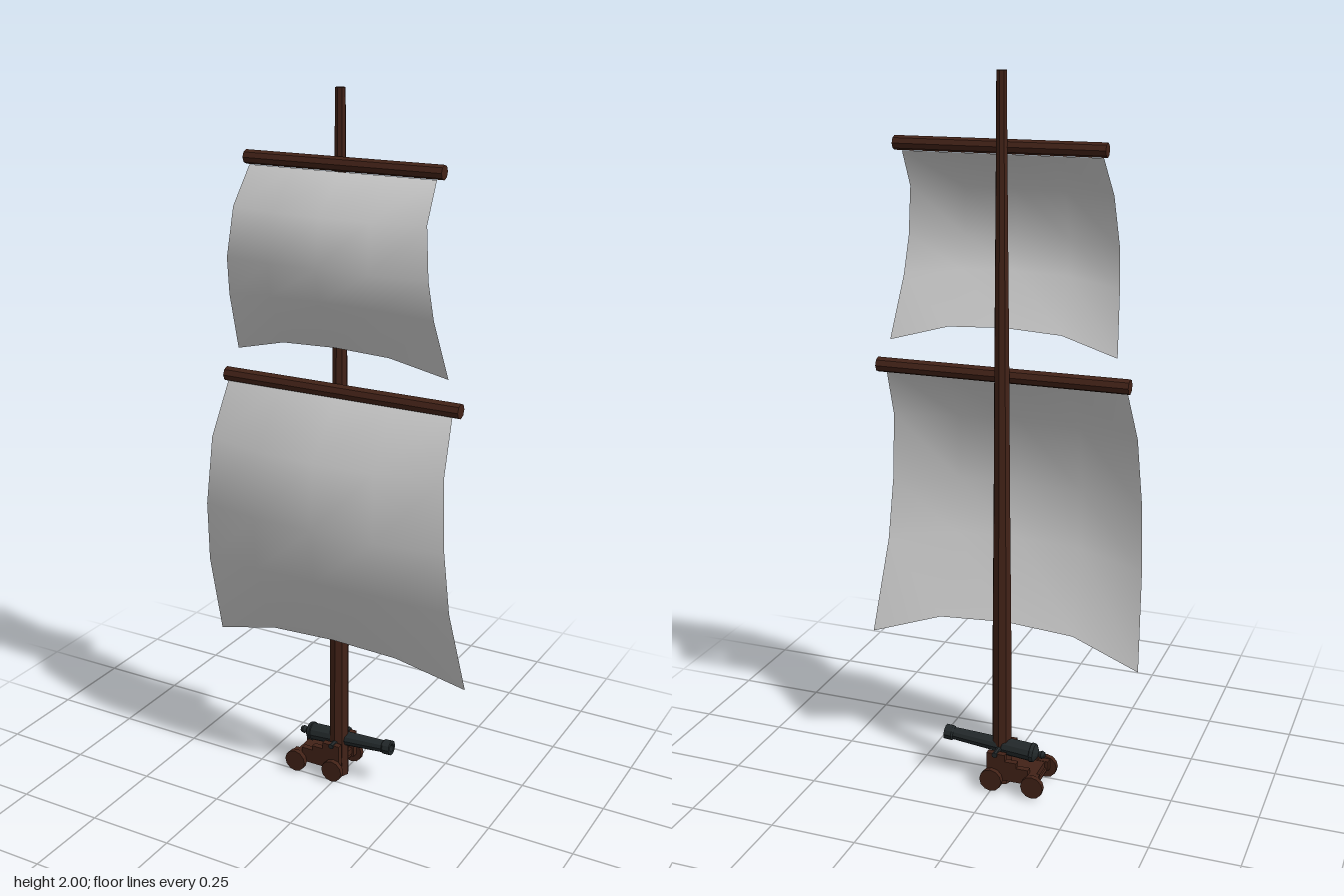
import * as THREE from 'three';

const wood = new THREE.MeshStandardMaterial({ color: 0x422217, flatShading: true });
const iron = new THREE.MeshStandardMaterial({ color: 0x22282a, flatShading: true });
const cloth = new THREE.MeshStandardMaterial({ color: 0xcccccc, side: THREE.DoubleSide });

function add(parent, name, geometry, material, x = 0, y = 0, z = 0) {
  const mesh = new THREE.Mesh(geometry, material);
  mesh.name = name;
  mesh.position.set(x, y, z);
  parent.add(mesh);
  return mesh;
}

// Closed turned shape from [radius, height] pairs
const turned = (profile, sides) =>
  new THREE.LatheGeometry(profile.map(([r, h]) => new THREE.Vector2(r, h)), sides);

// Billowing sail: rows are [y, half width, z at the middle], top to bottom;
// the side edges sit further back and the foot is arched upward.
function sailGeometry(rows, edgeBack, footDrop) {
  const columns = 4;
  const geo = new THREE.PlaneGeometry(2, 1, columns, rows.length - 1);
  const pos = geo.attributes.position;
  rows.forEach(([y, half, z], r) => {
    const t = r / (rows.length - 1);
    for (let c = 0; c <= columns; c++) {
      const u = (c / columns) * 2 - 1;
      const bend = [0, 0.15, 1][Math.abs(c - 2)];
      const back = r === 0 ? 0 : edgeBack * bend * (r === rows.length - 1 ? 0.65 : 1);
      pos.setXYZ(r * (columns + 1) + c, u * half, y - footDrop * bend * t ** 3, z - back);
    }
  });
  geo.computeVertexNormals();
  return geo;
}

function createCannon() {
  const cannon = new THREE.Group();
  cannon.name = 'cannon';
  cannon.position.set(-0.06, 0, -0.06);

  // Barrel with breech knob, reinforcing rings and a hollow muzzle
  const barrel = add(cannon, 'barrel', turned([
    [0, -0.085], [0.009, -0.082], [0.012, -0.073], [0.007, -0.064], [0.014, -0.06],
    [0.027, -0.052], [0.029, -0.042], [0.026, -0.04], [0.025, 0.04], [0.022, 0.045],
    [0.019, 0.165], [0.018, 0.195], [0.022, 0.2], [0.022, 0.222], [0.012, 0.222], [0.012, 0.17], [0, 0.17],
  ], 10), iron, 0, 0.112, 0);
  barrel.rotation.z = -Math.PI / 2 + 0.07;

  // Trunnion bar
  const trunnion = add(cannon, 'trunnion', new THREE.CylinderGeometry(0.008, 0.008, 0.118, 8), iron, 0.05, 0.112, 0);
  trunnion.rotation.x = Math.PI / 2;

  // Stepped carriage cheeks
  const outline = [[-0.08, 0.035], [0.075, 0.035], [0.075, 0.115], [0.02, 0.115], [0.02, 0.095],
    [-0.015, 0.095], [-0.015, 0.08], [-0.05, 0.08], [-0.05, 0.065], [-0.08, 0.065]];
  const cheek = new THREE.ExtrudeGeometry(
    new THREE.Shape(outline.map(([x, y]) => new THREE.Vector2(x, y))), { depth: 0.018, bevelEnabled: false });
  for (const side of [-1, 1]) add(cannon, 'cheek', cheek, wood, 0, 0, side * 0.046 - 0.009);
  add(cannon, 'carriageBed', new THREE.BoxGeometry(0.14, 0.018, 0.08), wood, 0, 0.055, 0);

  // Axles and wheels
  const wheel = new THREE.CylinderGeometry(0.033, 0.033, 0.015, 12).rotateX(Math.PI / 2);
  const hub = new THREE.CylinderGeometry(0.01, 0.01, 0.135, 8).rotateX(Math.PI / 2);
  for (const x of [-0.066, 0.058]) {
    add(cannon, 'axle', hub, wood, x, 0.037, 0);
    for (const side of [-1, 1]) add(cannon, 'wheel', wheel, wood, x, 0.037, side * 0.064);
  }
  return cannon;
}

export function createModel() {
  const model = new THREE.Group();
  model.name = 'mastWithSails';

  // Tapering mast
  add(model, 'mast', turned([
    [0, 0], [0.029, 0], [0.028, 0.45], [0.024, 0.85], [0.021, 1.25], [0.016, 1.75], [0.014, 2], [0, 2],
  ], 8), wood, -0.01, 0, -0.054);

  // Yards
  const yards = [['lowerYard', 0.72, 0.021, 1.204, -0.023], ['upperYard', 0.58, 0.019, 1.81, -0.036]];
  for (const [name, length, r, y, z] of yards) {
    add(model, name, new THREE.CylinderGeometry(r, r, length, 8).rotateZ(Math.PI / 2), wood, 0.005, y, z);
  }

  // Sails
  add(model, 'lowerSail', sailGeometry([
    [1.19, 0.345, -0.015], [1.04, 0.358, 0.115], [0.85, 0.372, 0.13], [0.69, 0.382, 0.11], [0.47, 0.4, 0.008],
  ], 0.058, 0.073), cloth);
  add(model, 'upperSail', sailGeometry([
    [1.79, 0.275, -0.035], [1.69, 0.284, 0.08], [1.56, 0.298, 0.095], [1.47, 0.306, 0.075], [1.33, 0.322, -0.005],
  ], 0.045, 0.05), cloth);

  model.add(createCannon());
  return model;
}
